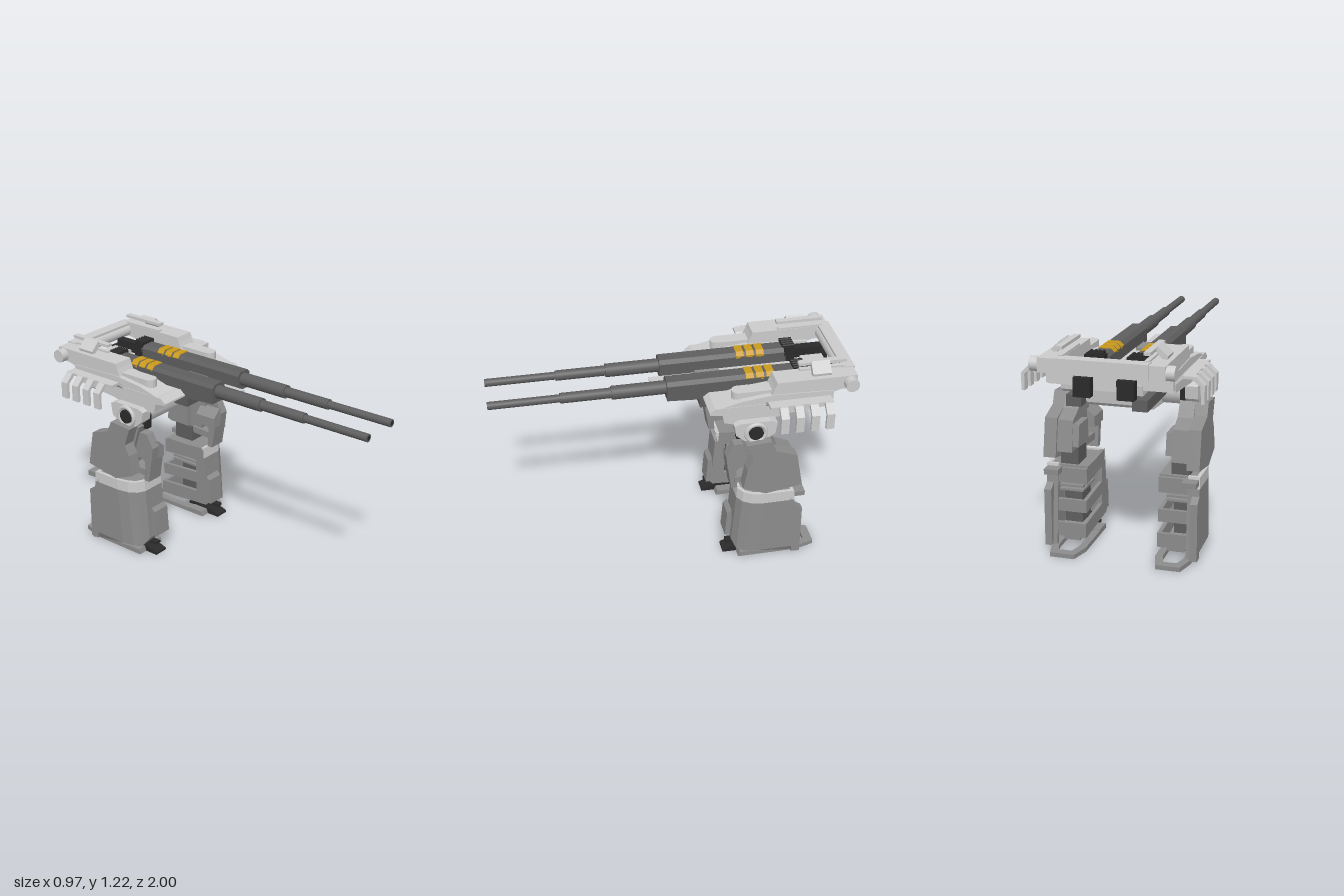
import * as THREE from 'three';

const mat = (color) => new THREE.MeshStandardMaterial({ color, side: THREE.DoubleSide });
const GREY = mat(0xcccccc), MID = mat(0x8c8c8c), DARK = mat(0x5e5e5e), BLACK = mat(0x2a2a2a), YELLOW = mat(0xc99a1e);

function add(parent, name, geo, material) {
  const m = new THREE.Mesh(geo, material);
  m.name = name;
  parent.add(m);
  return m;
}
// Box from its limits
function box(parent, name, material, [x0, x1], [y0, y1], [z0, z1]) {
  const g = new THREE.BoxGeometry(x1 - x0, y1 - y0, z1 - z0);
  return add(parent, name, g.translate((x0 + x1) / 2, (y0 + y1) / 2, (z0 + z1) / 2), material);
}
// Side profile of [z, y] points, extruded from x0 to x1
function prism(parent, name, material, pts, x0, x1) {
  const s = new THREE.Shape(pts.map(([z, y]) => new THREE.Vector2(-z, y)));
  const g = new THREE.ExtrudeGeometry(s, { depth: x1 - x0, bevelEnabled: false });
  return add(parent, name, g.rotateY(Math.PI / 2).translate(x0, 0, 0), material);
}
// Plan of [x, z] points, extruded upward
function plan(pts, y0, y1, hole) {
  const v = (a) => a.map(([x, z]) => new THREE.Vector2(x, -z));
  const s = new THREE.Shape(v(pts));
  if (hole) s.holes.push(new THREE.Path(v(hole)));
  const g = new THREE.ExtrudeGeometry(s, { depth: y1 - y0, bevelEnabled: false });
  return g.rotateX(-Math.PI / 2).translate(0, y0, 0);
}
// Front outline of [x, y] points, extruded from z0 forward to z1
function front(parent, name, material, pts, z0, z1) {
  const s = new THREE.Shape(pts.map(([x, y]) => new THREE.Vector2(x, y)));
  const g = new THREE.ExtrudeGeometry(s, { depth: z1 - z0, bevelEnabled: false });
  return add(parent, name, g.translate(0, 0, z0), material);
}
function cylX(parent, name, material, r, x0, x1, y, z) {
  const g = new THREE.CylinderGeometry(r, r, x1 - x0, 24).rotateZ(Math.PI / 2);
  return add(parent, name, g.translate((x0 + x1) / 2, y, z), material);
}
function cylZ(parent, name, material, r, z0, z1, x, y) {
  const g = new THREE.CylinderGeometry(r, r, z1 - z0, 24).rotateX(Math.PI / 2);
  return add(parent, name, g.translate(x, y, (z0 + z1) / 2), material);
}

function buildHull() {
  const hull = new THREE.Group();
  hull.name = 'hull';
  prism(hull, 'deck', GREY, [[-0.17, 0.995], [-0.17, 1.005], [-0.2, 1.03], [-0.83, 1.03], [-0.83, 0.975], [-0.52, 0.945], [-0.3, 0.92], [-0.25, 0.935], [-0.24, 0.985]], -0.338, 0.338);
  cylX(hull, 'hipBeam', GREY, 0.08, -0.275, 0.275, 0.88, -0.42);
  prism(hull, 'belly', GREY, [[-0.42, 0.8], [-0.64, 0.82], [-0.82, 0.89], [-0.84, 1.0], [-0.42, 1.0]], -0.17, 0.17);
  box(hull, 'centreStrip', GREY, [-0.03, 0.03], [1.028, 1.04], [-0.5, 0.1]);
  box(hull, 'sensor', MID, [-0.028, 0.028], [0.99, 1.055], [-0.3, -0.16]);
  box(hull, 'rearHousing', GREY, [-0.06, 0.06], [0.98, 1.06], [-0.91, -0.78]);
  // Rear crossbar and the plate over it
  cylX(hull, 'crossbar', GREY, 0.038, -0.375, 0.375, 1.11, -0.952);
  box(hull, 'crossbarPlate', GREY, [-0.245, 0.245], [1.135, 1.155], [-1.0, -0.93]);
  box(hull, 'crossbarBack', GREY, [-0.245, 0.245], [1.075, 1.15], [-1.0, -0.985]);
  return hull;
}

// Deck parts of one side
function buildDeckSide() {
  const g = new THREE.Group();
  g.name = 'deckSide';
  prism(g, 'deckRamp', GREY, [[-0.2, 1.02], [-0.35, 1.06], [-0.53, 1.08], [-0.86, 1.07], [-0.86, 0.99], [-0.2, 0.99]], 0.19, 0.335);
  prism(g, 'pod', GREY, [[-0.5, 1.05], [-0.53, 1.12], [-0.54, 1.15], [-0.99, 1.15], [-0.99, 1.075], [-0.9, 1.07], [-0.84, 1.05]], 0.208, 0.33);
  box(g, 'rail', GREY, [0.21, 0.235], [1.14, 1.16], [-0.95, -0.69]);
  // Ridge with a rounded nose in front of the pod
  const nose = [[0.227, -0.54], [0.303, -0.54]];
  for (let i = 0; i <= 8; i++) {
    const a = (i / 8) * Math.PI;
    nose.push([0.265 + 0.038 * Math.cos(a), -0.34 + 0.038 * Math.sin(a)]);
  }
  add(g, 'podNose', plan(nose, 1.03, 1.095), GREY);
  // Slanted arm carrying a long tab above the pod
  front(g, 'finArm', GREY, [[0.235, 1.195], [0.25, 1.215], [0.305, 1.165], [0.3, 1.145], [0.28, 1.145]], -0.85, -0.745);
  box(g, 'finTab', GREY, [0.21, 0.245], [1.188, 1.205], [-0.95, -0.68]);
  // Bent wing plate with four claws hanging from it
  front(g, 'wingPlate', GREY, [[0.33, 1.03], [0.37, 1.066], [0.43, 1.066], [0.43, 1.052], [0.375, 1.052], [0.33, 1.01]], -0.83, -0.48);
  const claw = [[0.42, 1.066], [0.44, 1.064], [0.485, 1.02], [0.485, 0.925], [0.467, 0.925], [0.467, 1.012], [0.42, 1.05]];
  for (let i = 0; i < 4; i++) front(g, 'claw', GREY, claw, -0.825 + i * 0.084, -0.78 + i * 0.084);
  // Hip socket with its ring
  prism(g, 'hipMount', GREY, [[-0.3, 0.93], [-0.33, 0.945], [-0.5, 0.945], [-0.54, 0.93], [-0.53, 0.86], [-0.46, 0.81], [-0.37, 0.82], [-0.31, 0.87]], 0.31, 0.38);
  const ring = new THREE.TorusGeometry(0.055, 0.012, 8, 24).rotateY(Math.PI / 2);
  add(g, 'hipRing', ring.translate(0.384, 0.88, -0.42), GREY);
  cylX(g, 'hipHub', BLACK, 0.04, 0.37, 0.395, 0.88, -0.42);
  box(g, 'hipJoint', BLACK, [0.275, 0.315], [0.8, 0.9], [-0.5, -0.33]);
  return g;
}

// One cannon, centred on its own x = 0
function buildCannon() {
  const g = new THREE.Group();
  g.name = 'cannon';
  const oct = (w, y0, y1, c) => [[-w, y0 + c], [-w + c, y0], [w - c, y0], [w, y0 + c], [w, y1 - c], [w - c, y1], [-w + c, y1], [-w, y1 - c]];
  const y = 1.06;
  [[0.61, 1, 0.022], [0.33, 0.61, 0.029], [0.02, 0.33, 0.038]].forEach(([a, b, r]) => cylZ(g, 'barrel', DARK, r, a, b, 0, y));
  cylZ(g, 'muzzleBore', BLACK, 0.013, 0.99, 1.0005, 0, y);
  front(g, 'receiver', DARK, oct(0.053, 1.0, 1.11, 0.02), -0.7, 0.03);
  prism(g, 'receiverKeel', DARK, [[0.03, 1.02], [0.03, 1.0], [-0.15, 0.99], [-0.155, 0.935], [-0.26, 0.935], [-0.26, 1.02]], -0.053, 0.053);
  for (let i = 0; i < 3; i++) front(g, 'yellowBand', YELLOW, oct(0.053, 1.06, 1.115, 0.02), -0.57 + i * 0.058, -0.526 + i * 0.058);
  // Breech and recoil parts behind the receiver
  box(g, 'breech', BLACK, [-0.053, 0.053], [1.0, 1.118], [-0.75, -0.69]);
  for (let i = 0; i < 4; i++) cylZ(g, 'breechCap', BLACK, 0.01, -0.75, -0.68, -0.033 + i * 0.022, 1.122);
  box(g, 'recoilRod', BLACK, [-0.025, 0.025], [1.03, 1.09], [-0.92, -0.75]);
  box(g, 'rearBlock', BLACK, [-0.045, 0.045], [0.95, 1.05], [-0.95, -0.9]);
  box(g, 'feedBox', DARK, [0.02, 0.1], [0.885, 0.945], [-0.9, -0.52]);
  return g;
}

function buildLeg() {
  const leg = new THREE.Group();
  leg.name = 'leg';
  // Thigh
  prism(leg, 'thighPlate', MID, [[-0.36, 0.83], [-0.5, 0.84], [-0.53, 0.77], [-0.65, 0.73], [-0.69, 0.52], [-0.48, 0.485], [-0.35, 0.54], [-0.37, 0.66], [-0.4, 0.72]], 0.36, 0.43);
  prism(leg, 'thighCore', MID, [[-0.35, 0.82], [-0.5, 0.84], [-0.55, 0.76], [-0.64, 0.72], [-0.67, 0.55], [-0.42, 0.55], [-0.39, 0.7]], 0.275, 0.36);
  prism(leg, 'thighRear', MID, [[-0.5, 0.7], [-0.64, 0.7], [-0.66, 0.58], [-0.5, 0.57]], 0.24, 0.28);
  prism(leg, 'thighStrut', MID, [[-0.31, 0.78], [-0.27, 0.7], [-0.28, 0.62], [-0.4, 0.62], [-0.4, 0.78]], 0.285, 0.34);
  prism(leg, 'lowerStrut', MID, [[-0.28, 0.63], [-0.305, 0.48], [-0.34, 0.48], [-0.33, 0.6], [-0.37, 0.63]], 0.24, 0.34);
  front(leg, 'kneeBracket', MID, [[0.23, 0.62], [0.23, 0.68], [0.285, 0.73], [0.3, 0.73], [0.3, 0.62]], -0.42, -0.28);
  prism(leg, 'kneeLink', MID, [[-0.32, 0.56], [-0.47, 0.57], [-0.47, 0.53], [-0.32, 0.52]], 0.26, 0.35);
  box(leg, 'kneeColumn', DARK, [0.26, 0.36], [0.4, 0.56], [-0.61, -0.48]);
  // Shin armour: an open shell that leans out toward the bottom
  const wall = [[0.2, -0.34], [0.34, -0.34], [0.385, -0.365], [0.412, -0.41], [0.425, -0.48], [0.425, -0.61], [0.425, -0.65], [0.36, -0.65], [0.36, -0.63],
    [0.405, -0.63], [0.405, -0.61], [0.405, -0.48], [0.393, -0.42], [0.37, -0.38], [0.33, -0.36], [0.2, -0.36]];
  const lean = (geo, bottomCut) => {
    const p = geo.attributes.position;
    for (let i = 0; i < p.count; i++) {
      const x = p.getX(i), z = p.getZ(i);
      let y = p.getY(i);
      if (bottomCut && y < 0.11) y = z < -0.62 ? 0.015 : x < 0.35 ? 0.1 : 0.06;
      p.setY(i, y);
      p.setZ(i, z + (z > -0.5 ? 0.03 : -0.045) * (0.475 - y) / 0.45);
    }
    geo.computeVertexNormals();
    return geo;
  };
  add(leg, 'shinArmour', lean(plan(wall, 0.1, 0.41), true), MID);
  add(leg, 'shinCollar', lean(plan(wall, 0.41, 0.475), false), GREY);
  const lid = [[0.2, -0.35], [0.34, -0.35], [0.39, -0.38], [0.415, -0.48], [0.415, -0.63], [0.2, -0.63]];
  add(leg, 'shinLid', plan(lid, 0.44, 0.465), MID);
  prism(leg, 'shinFrontRib', MID, [[-0.32, 0.29], [-0.295, 0.27], [-0.285, 0.11], [-0.33, 0.11]], 0.2, 0.31);
  // Bands that wrap the inner and rear faces
  [[0.39, 0.475], [0.23, 0.3], [0.09, 0.17]].forEach(([a, b], i) => {
    const d = 0.015 * i;
    prism(leg, 'innerBand', MID, [[-0.34 + d / 2, b], [-0.63 - d, b - 0.02], [-0.63 - d, a - 0.02], [-0.34 + d / 2, a]], 0.2, 0.222);
    box(leg, 'rearBand', MID, [0.2, 0.37], [a - 0.02, b - 0.02], [-0.65 - d, -0.63 - d]);
  });
  box(leg, 'innerPost', MID, [0.2, 0.222], [0.1, 0.45], [-0.4, -0.34]);
  box(leg, 'calfFlap', MID, [0.34, 0.42], [0.43, 0.46], [-0.715, -0.63]);
  prism(leg, 'calfFin', MID, [[-0.63, 0.43], [-0.66, 0.37], [-0.705, 0.34], [-0.71, 0.02], [-0.66, 0.02]], 0.385, 0.425);
  box(leg, 'shinCore', DARK, [0.26, 0.36], [0.11, 0.45], [-0.56, -0.42]);
  for (let i = 0; i < 4; i++) box(leg, 'coolingFin', MID, [0.235, 0.37], [0.31 + i * 0.024, 0.322 + i * 0.024], [-0.615, -0.42]);
  // Ankle and foot
  cylX(leg, 'ankleAxle', BLACK, 0.03, 0.255, 0.335, 0.05, -0.46);
  box(leg, 'anklePost', BLACK, [0.275, 0.315], [0.02, 0.13], [-0.48, -0.4]);
  prism(leg, 'footRamp', MID, [[-0.47, 0.1], [-0.64, 0.065], [-0.64, 0.035], [-0.47, 0.05]], 0.25, 0.34);
  const heel = [[0.195, -0.44], [0.39, -0.44], [0.39, -0.7], [0.36, -0.81], [0.225, -0.81], [0.195, -0.7]];
  const heelHole = [[0.235, -0.53], [0.35, -0.53], [0.35, -0.69], [0.33, -0.76], [0.255, -0.76], [0.235, -0.69]];
  add(leg, 'heelFrame', plan(heel, 0, 0.025, heelHole), MID);
  prism(leg, 'toe', BLACK, [[-0.27, 0], [-0.27, 0.012], [-0.34, 0.035], [-0.5, 0.04], [-0.5, 0]], 0.25, 0.335);
  [0.225, 0.36].forEach((x) => prism(leg, 'sideToe', MID, [[-0.35, 0], [-0.36, 0.03], [-0.46, 0.03], [-0.46, 0]], x - 0.03, x + 0.03));
  box(leg, 'toeGuard', BLACK, [0.275, 0.315], [0.055, 0.068], [-0.43, -0.29]);
  return leg;
}

export function createModel() {
  const model = new THREE.Group();
  model.name = 'walker';
  model.add(buildHull());
  for (const s of [1, -1]) {
    const side = new THREE.Group();
    side.name = s > 0 ? 'leftSide' : 'rightSide';
    const cannon = buildCannon();
    cannon.position.x = 0.114;
    side.add(buildDeckSide(), cannon, buildLeg());
    side.scale.x = s;
    model.add(side);
  }
  return model;
}
